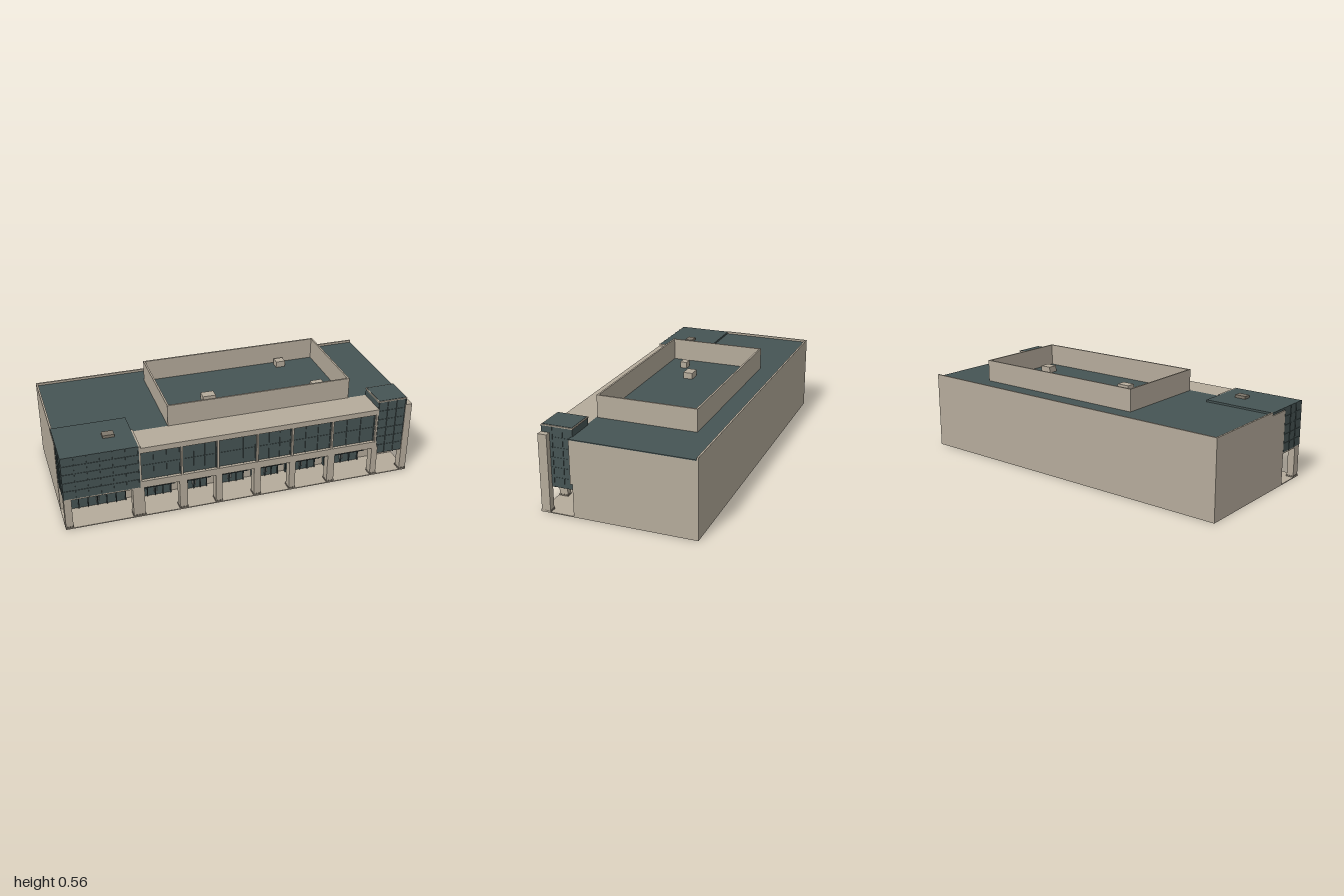
import * as THREE from 'three';

const mat = (name, color, side = THREE.FrontSide) => {
  const m = new THREE.MeshStandardMaterial({ color, side });
  m.name = name;
  return m;
};

export function createModel() {
  const stone = mat('stone', 0xb5ab9b);
  const glass = mat('slateGlass', 0x465454);
  const frame = mat('darkFrame', 0x344042);
  const grey = mat('greyStone', 0x7f786c);
  const metal = mat('paleMetal', 0xb4b8b2);
  const model = new THREE.Group();
  model.name = 'commercialBuilding';

  const group = (name) => {
    const g = new THREE.Group();
    g.name = name;
    model.add(g);
    return g;
  };
  // Box given by its low and high limits on each axis
  const box = (parent, name, m, x0, x1, y0, y1, z0, z1) => {
    const mesh = new THREE.Mesh(new THREE.BoxGeometry(x1 - x0, y1 - y0, z1 - z0), m);
    mesh.position.set((x0 + x1) / 2, (y0 + y1) / 2, (z0 + z1) / 2);
    mesh.name = name;
    parent.add(mesh);
    return mesh;
  };
  // Raised glazing bars on a wall facing z or x
  const gridZ = (parent, x0, x1, y0, y1, z, cols, rows, m) => {
    const t = 0.0025;
    for (let i = 0; i <= cols; i++) {
      const x = x0 + t + (x1 - x0 - 2 * t) * i / cols;
      box(parent, 'verticalBar', m, x - t, x + t, y0, y1, z - 0.003, z + 0.005);
    }
    for (let j = 1; j < rows; j++) {
      const y = y0 + (y1 - y0) * j / rows;
      box(parent, 'crossBar', m, x0, x1, y - t / 2, y + t / 2, z - 0.003, z + 0.003);
    }
  };
  const gridX = (parent, x, y0, y1, z0, z1, cols, rows, m) => {
    const t = 0.002;
    for (let i = 1; i < cols; i++) {
      const z = z0 + (z1 - z0) * i / cols;
      box(parent, 'verticalBar', m, x - 0.003, x + 0.003, y0, y1, z - t, z + t);
    }
    for (let j = 1; j < rows; j++) {
      const y = y0 + (y1 - y0) * j / rows;
      box(parent, 'crossBar', m, x - 0.002, x + 0.002, y - t / 2, y + t / 2, z0, z1);
    }
  };

  // Main hall, paving slab, roof and low parapets
  const hall = group('mainHall');
  box(hall, 'pavingSlab', stone, -1, 1, 0, 0.005, -0.435, 0.435);
  box(hall, 'hallWalls', stone, -1, 1, 0.005, 0.427, -0.435, 0.245);
  box(hall, 'upperFrontWall', stone, -0.99, 1, 0.185, 0.427, 0.245, 0.257);
  box(hall, 'roofDeck', glass, -0.99, 1, 0.427, 0.432, -0.425, 0.257);
  box(hall, 'backParapet', stone, -1, 1, 0.427, 0.445, -0.435, -0.425);
  box(hall, 'leftParapet', stone, -1, -0.99, 0.427, 0.445, -0.425, 0.11);

  // Tall roof screen, open at the top
  const screen = group('roofScreen');
  const [sx0, sx1, sz0, sz1, w] = [-0.38, 0.685, -0.31, 0.252, 0.01];
  box(screen, 'screenBack', stone, sx0, sx1, 0.43, 0.557, sz0, sz0 + w);
  box(screen, 'screenFront', stone, sx0, sx1, 0.43, 0.557, sz1 - w, sz1);
  box(screen, 'screenSide', stone, sx0, sx0 + w, 0.43, 0.557, sz0 + w, sz1 - w);
  box(screen, 'screenSide', stone, sx1 - w, sx1, 0.43, 0.557, sz0 + w, sz1 - w);

  // Rooftop units: x, z, width, depth
  const units = group('rooftopUnits');
  for (const [x, z, a, d] of [[0.453, -0.255, 0.055, 0.05], [-0.085, 0.03, 0.075, 0.055],
    [0.563, 0.085, 0.07, 0.06], [-0.245, 0.125, 0.05, 0.04]]) {
    box(units, 'rooftopUnit', stone, x - a / 2, x + a / 2, 0.432, 0.468, z - d / 2, z + d / 2);
  }
  box(units, 'cornerRoofUnit', grey, -0.747, -0.683, 0.442, 0.459, 0.25, 0.295);

  // Glazed corner block overhanging the entrance
  const corner = group('cornerBlock');
  box(corner, 'cornerGlass', glass, -0.998, -0.585, 0.187, 0.44, 0.25, 0.43);
  box(corner, 'cornerRoof', glass, -0.998, -0.585, 0.43, 0.443, 0.11, 0.43);
  box(corner, 'cornerSoffit', stone, -0.998, -0.585, 0.18, 0.187, 0.245, 0.43);
  box(corner, 'cornerEndFin', stone, -0.585, -0.575, 0.185, 0.443, 0.25, 0.433);
  gridZ(corner, -0.998, -0.585, 0.187, 0.443, 0.43, 6, 5, glass);
  gridX(corner, -0.998, 0.187, 0.443, 0.25, 0.43, 3, 5, glass);

  // Upper gallery with its window band
  const gallery = group('upperGallery');
  box(gallery, 'gallerySill', stone, -0.6, 0.8, 0.18, 0.222, 0.25, 0.43);
  box(gallery, 'galleryRoof', stone, -0.578, 0.795, 0.4, 0.432, 0.25, 0.433);
  box(gallery, 'galleryGlass', glass, -0.578, 0.795, 0.222, 0.4, 0.25, 0.412);
  const piers = [-0.582, -0.35, -0.147, 0.08, 0.285, 0.523, 0.79];
  piers.forEach((x, i) => {
    box(gallery, 'windowPier', stone, x - 0.005, x + 0.005, 0.222, 0.4, 0.4, 0.428);
    if (i) gridZ(gallery, piers[i - 1] + 0.006, x - 0.006, 0.222, 0.4, 0.412, 3, 2, glass);
  });

  // Glazed end tower with a stone rim
  const tower = group('endTower');
  box(tower, 'towerGlass', glass, 0.795, 0.967, 0.137, 0.471, 0.25, 0.423);
  box(tower, 'towerRim', stone, 0.793, 0.969, 0.471, 0.477, 0.247, 0.425);
  box(tower, 'towerRoof', glass, 0.799, 0.963, 0.474, 0.479, 0.253, 0.419);
  gridZ(tower, 0.797, 0.965, 0.137, 0.471, 0.423, 3, 6, glass);
  gridX(tower, 0.967, 0.137, 0.471, 0.25, 0.423, 3, 6, glass);
  box(tower, 'tallPier', stone, 0.96, 1, 0.005, 0.436, 0.38, 0.43);
  box(tower, 'tallPierBase', grey, 0.957, 1, 0.005, 0.013, 0.377, 0.433);

  // Arcade columns: centre x and width
  const arcade = group('arcade');
  for (const [x, a] of [[-0.978, 0.04], [-0.595, 0.065], [-0.345, 0.045], [-0.143, 0.036],
    [0.08, 0.04], [0.288, 0.036], [0.522, 0.042], [0.79, 0.036]]) {
    box(arcade, 'column', stone, x - a / 2, x + a / 2, 0.005, 0.185, 0.382, 0.43);
    box(arcade, 'columnBase', grey, x - a / 2 - 0.002, x + a / 2 + 0.002, 0.005, 0.013, 0.38, 0.432);
  }

  // Shopfronts with doors and sloping awnings
  const shops = group('shopfronts');
  const bays = [[-0.955, -0.635, 6], [-0.56, -0.375, 4], [-0.32, -0.165, 4], [-0.12, 0.055, 4],
    [0.105, 0.265, 4], [0.31, 0.495, 4], [0.55, 0.77, 4]];
  bays.forEach(([x0, x1, cols], i) => {
    box(shops, 'shopGlass', glass, x0, x1, 0.005, 0.125, 0.245, 0.259);
    gridZ(shops, x0, x1, 0.005, 0.125, 0.262, cols, 1, frame);
    box(shops, 'transom', frame, x0, x1, 0.1, 0.104, 0.258, 0.265);
    const mid = (x0 + x1) / 2;
    for (const s of [-1, 1]) {
      box(shops, 'doorHandle', metal, mid + s * 0.008 - 0.002, mid + s * 0.008 + 0.002,
        0.035, 0.06, 0.266, 0.274);
    }
    // Awning blade and its tie rods
    if (i > 0) {
      const blade = box(shops, 'awning', frame, x0, x1, 0.118, 0.121, 0.264, 0.345);
      blade.rotation.x = 0.12;
      blade.position.y = 0.122;
      for (const x of [x0 + 0.01, mid, x1 - 0.01]) {
        const rod = new THREE.Mesh(new THREE.BoxGeometry(0.003, 0.003, 0.085), frame);
        rod.name = 'awningRod';
        rod.position.set(x, 0.126, 0.302);
        rod.rotation.x = 0.25;
        shops.add(rod);
      }
    }
    box(shops, 'awningHeader', frame, x0, x1, 0.125, 0.135, 0.245, 0.268);
  });
  return model;
}
